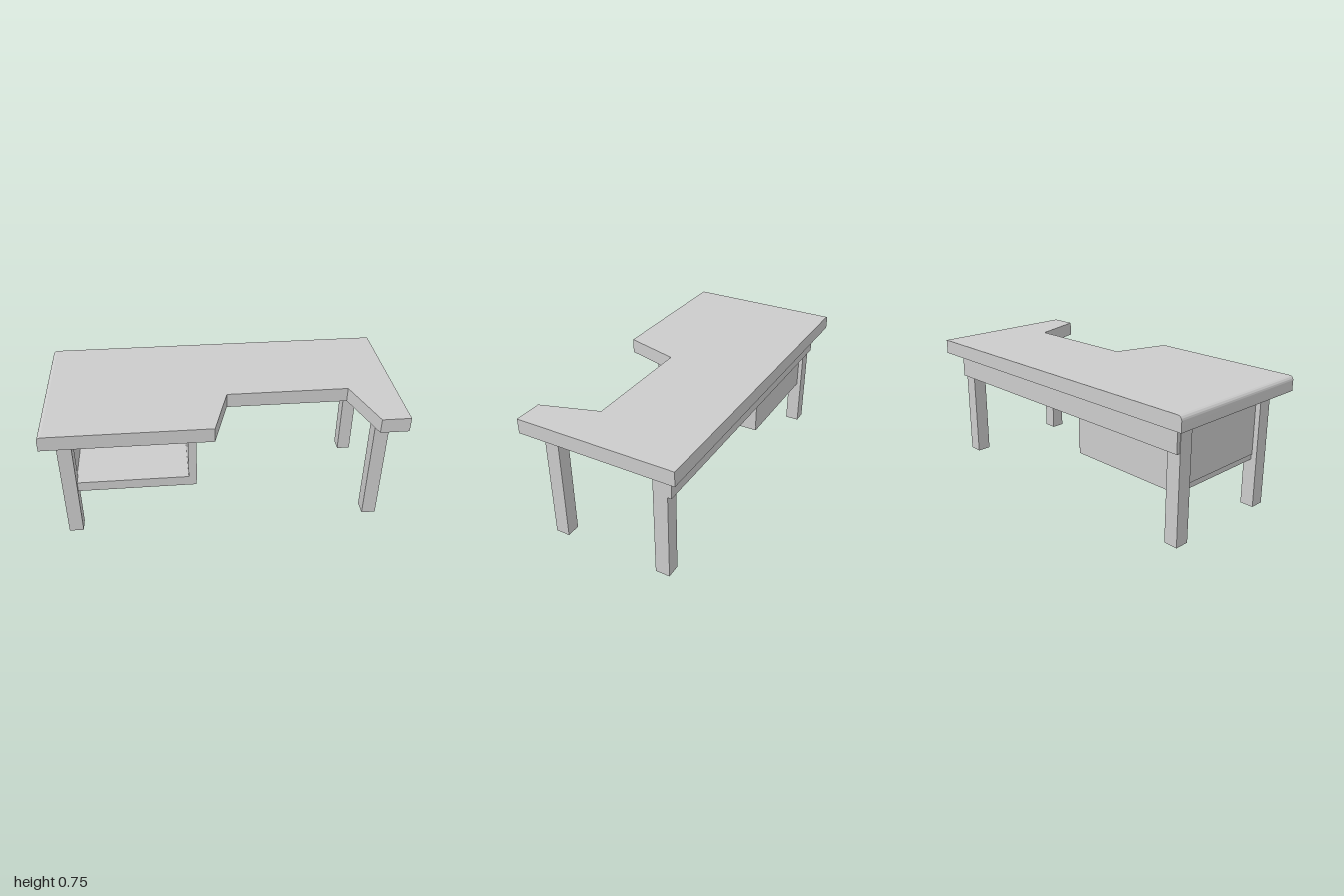
import * as THREE from 'three';
import { toCreasedNormals } from 'three/addons/utils/BufferGeometryUtils.js';

const material = new THREE.MeshStandardMaterial({ color: 0xcccccc });

export function createModel() {
  const desk = new THREE.Group();
  desk.name = 'desk';

  const add = (parent, name, geometry) => {
    const mesh = new THREE.Mesh(geometry, material);
    mesh.name = name;
    parent.add(mesh);
    return mesh;
  };
  // Box given by its extents on each axis
  const box = (parent, name, [x0, x1], [y0, y1], [z0, z1]) => {
    const mesh = add(parent, name, new THREE.BoxGeometry(x1 - x0, y1 - y0, z1 - z0));
    mesh.position.set((x0 + x1) / 2, (y0 + y1) / 2, (z0 + z1) / 2);
  };

  const bottom = 0.67, top = 0.755, front = 0.463, back = -0.463, radius = 0.025;

  // Worktop with the knee cut-out; plan points are (x, -z)
  const worktop = new THREE.Group();
  worktop.name = 'worktop';
  desk.add(worktop);
  const plan = new THREE.Shape([
    [-1 + radius, front], [-0.065, front], [0.03, 0.135], [0.73, 0.135],
    [0.837, front], [1, front], [1, back], [-1 + radius, back],
  ].map(([x, z]) => new THREE.Vector2(x, -z)));
  const slab = new THREE.ExtrudeGeometry(plan, { depth: top - bottom, bevelEnabled: false });
  slab.rotateX(-Math.PI / 2).translate(0, bottom, 0);
  add(worktop, 'slab', slab);

  // Rounded upper edge on the model's right end
  const edge = new THREE.Shape();
  edge.moveTo(-1, bottom);
  edge.lineTo(-1 + radius, bottom);
  edge.lineTo(-1 + radius, top);
  edge.absarc(-1 + radius, top - radius, radius, Math.PI / 2, Math.PI, false);
  edge.lineTo(-1, bottom);
  const nosing = new THREE.ExtrudeGeometry(edge, { depth: front - back, bevelEnabled: false, curveSegments: 10 });
  nosing.translate(0, 0, back);
  add(worktop, 'roundedEdge', toCreasedNormals(nosing, 0.6));

  // Four square legs
  for (const x of [[-0.925, -0.843], [0.84, 0.922]])
    for (const z of [[0.282, 0.366], [-0.374, -0.29]])
      box(desk, 'leg', x, [0, bottom], z);

  // Rail across the back of the legs
  box(desk, 'backRail', [-0.922, 0.922], [0.52, bottom], [-0.396, -0.374]);

  // Open-fronted storage box hung between the right-hand legs
  const cabinet = new THREE.Group();
  cabinet.name = 'cabinet';
  desk.add(cabinet);
  const depth = [-0.348, 0.345];
  box(cabinet, 'cabinetBottom', [-0.89, -0.166], [0.284, 0.344], depth);
  box(cabinet, 'cabinetLeftSide', [-0.208, -0.161], [0.316, 0.657], depth);
  box(cabinet, 'cabinetRightSide', [-0.895, -0.848], [0.316, 0.657], depth);
  box(cabinet, 'cabinetBack', [-0.848, -0.208], [0.344, 0.657], [-0.348, -0.305]);

  return desk;
}
